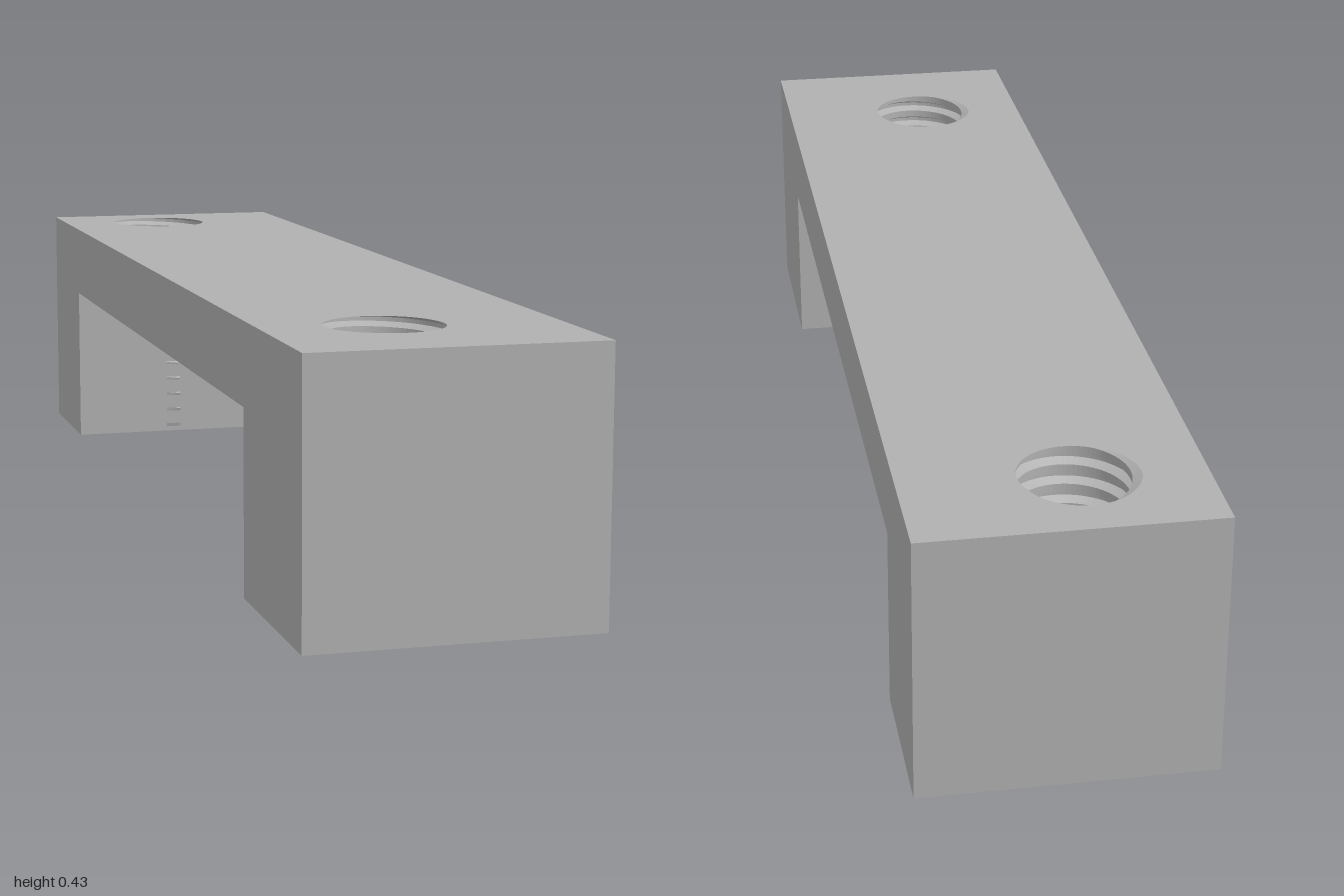
import * as THREE from 'three';

// Overall sizes
const W = 0.2333, H = 0.4333, UNDER = 0.3;      // half width, height, underside of the bar
const FRONT_WALL = 0.6667, BACK_WALL = -0.7333; // inner faces of the two legs
// Threaded holes
const HOLE_X = -0.0333, MINOR = 0.0865, MAJOR = 0.1011, PITCH = H / 13, SEG = 72;
const STEPS = [0, 0.4, 0.6, 0.8];               // corners of one thread turn
const PHASE = 1.075;
const holes = [
  { name: 'front', z: 0.7667, wall: FRONT_WALL, wallAngle: Math.PI / 2 },
  { name: 'back', z: -0.8333, wall: BACK_WALL, wallAngle: -Math.PI / 2 },
];

// Thread radius at an angle and height
function threadRadius(a, y) {
  let u = y / PITCH - a / (2 * Math.PI) + PHASE;
  u -= Math.floor(u + 1e-9);
  const t = u < 0.4 ? 0 : u < 0.6 ? (u - 0.4) / 0.2 : u < 0.8 ? 1 : (1 - u) / 0.2;
  return MINOR + (MAJOR - MINOR) * THREE.MathUtils.clamp(t, 0, 1);
}

function rect(x0, y0, x1, y1, Type = THREE.Shape) {
  return new Type([[x0, y0], [x1, y0], [x1, y1], [x0, y1]].map(p => new THREE.Vector2(...p)));
}

// Outline of a hole where the thread meets a horizontal face; s is the sign of z in the shape
function holePath(z, y, s) {
  const pts = [];
  for (let i = 0; i < SEG; i++) {
    const a = i / SEG * 2 * Math.PI, r = threadRadius(a, y);
    pts.push(new THREE.Vector2(HOLE_X + r * Math.cos(a), s * (z - r * Math.sin(a))));
  }
  return new THREE.Path(pts);
}

// Helical bore, open where it breaks through the inner leg wall
function threadGeometry({ z, wall }) {
  const pos = [];
  const point = (i, k) => {
    const a = i / SEG * 2 * Math.PI;
    const turn = Math.floor(k / 4) + STEPS[((k % 4) + 4) % 4];
    const y = THREE.MathUtils.clamp((turn - PHASE + a / (2 * Math.PI)) * PITCH, 0, H);
    const r = threadRadius(a, y);
    return [HOLE_X + r * Math.cos(a), y, z - r * Math.sin(a)];
  };
  for (let i = 0; i < SEG; i++) {
    for (let k = -4; k < 62; k++) {
      const a = point(i, k), b = point(i + 1, k), c = point(i, k + 1), d = point(i + 1, k + 1);
      const midY = (a[1] + b[1] + c[1] + d[1]) / 4, midZ = (a[2] + b[2] + c[2] + d[2]) / 4;
      if (midY < UNDER && Math.abs(midZ) < Math.abs(wall)) continue;
      if (c[1] - a[1] > 1e-7 || d[1] - b[1] > 1e-7) {
        if (c[1] - a[1] > 1e-7) pos.push(...a, ...c, ...b);
        if (d[1] - b[1] > 1e-7) pos.push(...b, ...c, ...d);
      }
    }
  }
  const g = new THREE.BufferGeometry();
  g.setAttribute('position', new THREE.Float32BufferAttribute(pos, 3));
  g.computeVertexNormals();
  return g;
}

export function createModel() {
  const model = new THREE.Group();
  model.name = 'pullHandle';
  const grey = new THREE.MeshStandardMaterial({ color: 0xb0b0b0 });
  grey.name = 'grey';

  const add = (name, geometry) => {
    const mesh = new THREE.Mesh(geometry, grey);
    mesh.name = name;
    model.add(mesh);
  };
  const face = shape => new THREE.ShapeGeometry(shape);

  // Top with two holes
  const top = rect(-W, -1, W, 1);
  holes.forEach(h => top.holes.push(holePath(h.z, H, -1)));
  add('top', face(top).rotateX(-Math.PI / 2).translate(0, H, 0));

  // Underside of the bar
  add('barUnderside', face(rect(-W, BACK_WALL, W, FRONT_WALL)).rotateX(Math.PI / 2).translate(0, UNDER, 0));

  // Bridge-shaped long sides, drawn along z
  for (const s of [1, -1]) {
    const side = new THREE.Shape([
      [-1, 0], [BACK_WALL, 0], [BACK_WALL, UNDER], [FRONT_WALL, UNDER],
      [FRONT_WALL, 0], [1, 0], [1, H], [-1, H],
    ].map(([z, y]) => new THREE.Vector2(-s * z, y)));
    add(s > 0 ? 'leftSide' : 'rightSide', face(side).rotateY(s * Math.PI / 2).translate(s * W, 0, 0));
  }

  for (const h of holes) {
    const s = Math.sign(h.z);
    // Outer end
    add(h.name + 'End', face(rect(-W, 0, W, H)).rotateY(s > 0 ? 0 : Math.PI).translate(0, 0, s));

    // Foot with hole
    const foot = rect(-W, Math.min(h.wall, s), W, Math.max(h.wall, s));
    foot.holes.push(holePath(h.z, 0, 1));
    add(h.name + 'Foot', face(foot).rotateX(Math.PI / 2));

    // Inner leg wall with the slits cut by the thread
    const wall = rect(-W, 0, W, UNDER);
    for (let k = 1; k <= 9; k++) {
      const y = PITCH * (0.7 - PHASE + h.wallAngle / (2 * Math.PI) + k);
      const x = -s * HOLE_X;
      wall.holes.push(rect(x - 0.0145, y - 0.1 * PITCH, x + 0.0145, y + 0.1 * PITCH, THREE.Path));
    }
    add(h.name + 'InnerWall', face(wall).rotateY(s > 0 ? Math.PI : 0).translate(0, 0, h.wall));

    add(h.name + 'Thread', threadGeometry(h));
  }
  return model;
}
